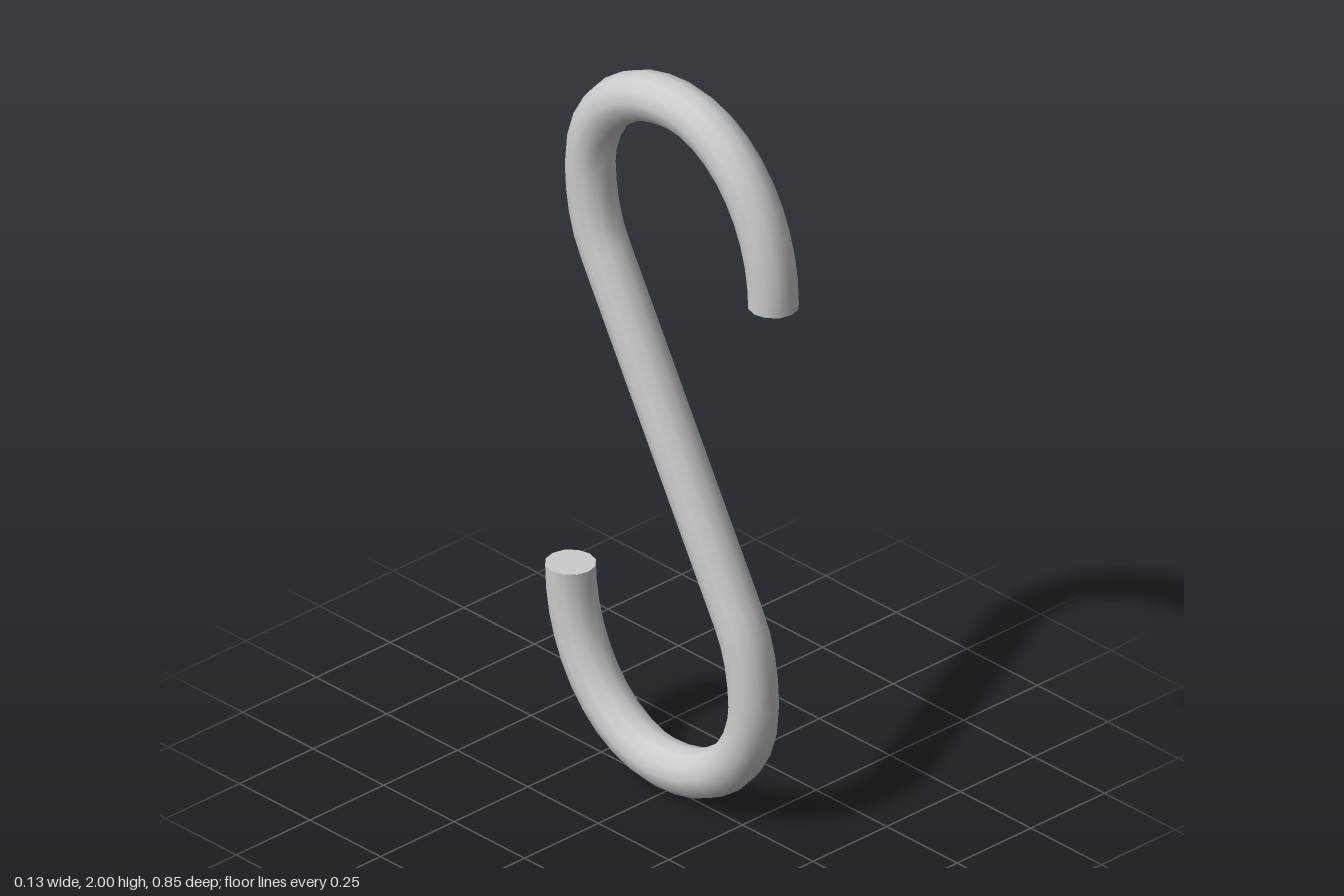
import * as THREE from 'three';

const RADIUS = 0.064;
const SIDES = 12;

// Centreline of the upper hook as [z, y] cubic Bezier segments, tip to shank
const upperHook = [
  [[0.36, 1.51], [0.36, 1.745], [0.21, 1.936], [0.02, 1.936]],
  [[0.02, 1.936], [-0.16, 1.936], [-0.29, 1.81], [-0.29, 1.65]],
  [[-0.29, 1.65], [-0.29, 1.575], [-0.273, 1.487], [-0.24, 1.43]],
];

const point = ([z, y]) => new THREE.Vector3(0, y, z);
const halfTurn = ([z, y]) => [-z, 2 - y];
const bezier = (pts) => new THREE.CubicBezierCurve3(...pts.map(point));

export function createModel() {
  const group = new THREE.Group();
  group.name = 'sHook';
  const material = new THREE.MeshStandardMaterial({ color: 0xcccccc });

  // The lower hook is the upper one turned half way round the middle
  const lowerHook = upperHook.map((s) => s.map(halfTurn).reverse()).reverse();
  const path = new THREE.CurvePath();
  upperHook.forEach((s) => path.add(bezier(s)));
  path.add(new THREE.LineCurve3(point(upperHook[2][3]), point(lowerHook[0][0])));
  lowerHook.forEach((s) => path.add(bezier(s)));

  // Bent rod
  const rod = new THREE.Mesh(new THREE.TubeGeometry(path, 60, RADIUS, SIDES), material);
  rod.name = 'rod';
  group.add(rod);

  // Flat ends: the upper tip faces down, the lower tip faces up
  for (const [name, tip, turn] of [
    ['upperTipCap', upperHook[0][0], Math.PI / 2],
    ['lowerTipCap', lowerHook[2][3], -Math.PI / 2],
  ]) {
    const cap = new THREE.Mesh(new THREE.CircleGeometry(RADIUS, SIDES), material);
    cap.name = name;
    cap.position.copy(point(tip));
    cap.rotation.x = turn;
    group.add(cap);
  }
  return group;
}
